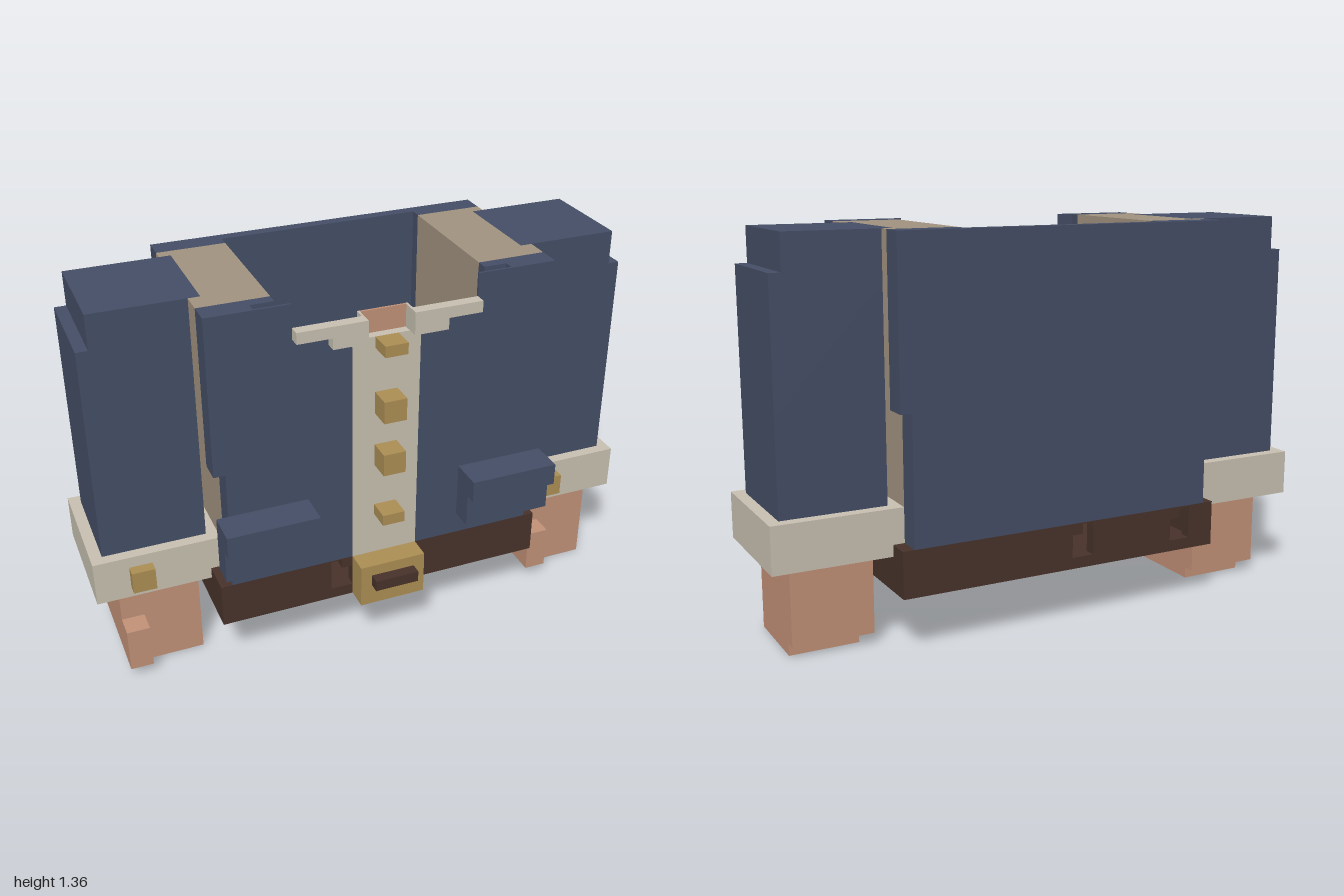
import * as THREE from 'three';

const mat = (name, color) => new THREE.MeshStandardMaterial({ name, color });

export function createModel() {
  const navy = mat('navy cloth', 0x454e66);
  const tan = mat('tan lining', 0xa39480);
  const cream = mat('cream cloth', 0xc9c1b2);
  const gold = mat('gold', 0xad8f55);
  const skin = mat('skin', 0xc39278);
  const brown = mat('brown leather', 0x48332b);
  const model = new THREE.Group();
  model.name = 'jacketTorso';

  // Box given by its extents on each axis
  function box(parent, name, material, [x0, x1], [y0, y1], [z0, z1]) {
    const mesh = new THREE.Mesh(new THREE.BoxGeometry(Math.abs(x1 - x0), y1 - y0, z1 - z0), material);
    mesh.position.set((x0 + x1) / 2, (y0 + y1) / 2, (z0 + z1) / 2);
    mesh.name = name;
    parent.add(mesh);
    return mesh;
  }
  function group(name, x = 0) {
    const g = new THREE.Group();
    g.name = name;
    g.position.x = x;
    model.add(g);
    return g;
  }

  // Hollow belt: front and back walls pierced by small notches
  const belt = group('belt');
  function beltWall(name, z, notches) {
    const shape = new THREE.Shape();
    shape.moveTo(-0.6, 0.2).lineTo(0.6, 0.2).lineTo(0.6, 0.36).lineTo(-0.6, 0.36);
    for (const x of notches) {
      const hole = new THREE.Path();
      hole.moveTo(x, 0.24).lineTo(x, 0.355).lineTo(x + 0.04, 0.355).lineTo(x + 0.04, 0.32)
        .lineTo(x + 0.08, 0.32).lineTo(x + 0.08, 0.24);
      shape.holes.push(hole);
    }
    const mesh = new THREE.Mesh(new THREE.ExtrudeGeometry(shape, { depth: 0.04, bevelEnabled: false }), brown);
    mesh.position.z = z;
    mesh.name = name;
    belt.add(mesh);
  }
  beltWall('beltFront', 0.22, [-0.2]);
  beltWall('beltBack', -0.38, [-0.1, -0.5]);
  box(belt, 'beltFloor', brown, [-0.56, 0.56], [0.2, 0.22], [-0.34, 0.22]);
  for (const s of [-1, 1]) box(belt, 'beltSide', brown, [s * 0.56, s * 0.6], [0.2, 0.36], [-0.34, 0.22]);
  box(belt, 'buckle', gold, [-0.12, 0.12], [0.2, 0.36], [0.26, 0.34]);
  box(belt, 'buckleBar', brown, [-0.08, 0.08], [0.28, 0.32], [0.34, 0.38]);

  // Jacket body, open at the neck
  const jacket = group('jacket');
  box(jacket, 'backPanel', navy, [-0.36, 0.36], [0.36, 1.36], [-0.38, -0.34]);
  for (const s of [-1, 1]) {
    const m = (a, b) => [s * a, s * b];
    // lower part is narrower than the upper part
    for (const [y, w] of [[[0.36, 0.8], 0.56], [[0.8, 1.36], 0.6]]) {
      box(jacket, 'backCorner', navy, m(0.36, w), y, [-0.38, -0.3]);
      box(jacket, 'frontCorner', navy, m(0.44, w), y, [0.18, 0.26]);
      box(jacket, 'sideLining', tan, m(0.36, 0.56), y, [-0.3, 0.18]);
    }
    box(jacket, 'liningFrontEdge', tan, m(0.56, 0.6), [0.8, 1.36], [0.1, 0.18]);
    box(jacket, 'liningBackEdge', tan, m(0.56, 0.6), [0.8, 1.36], [-0.3, -0.26]);
    box(jacket, 'frontCornerInner', navy, m(0.36, 0.44), [0.36, 1.36], [0.18, 0.22]);
    // thin front panel stepping up beside the collar
    box(jacket, 'frontPanel', navy, m(0.32, 0.44), [0.36, 1.36], [0.252, 0.26]);
    box(jacket, 'frontPanel', navy, m(0.2, 0.32), [0.36, 1.24], [0.252, 0.26]);
    box(jacket, 'frontPanel', navy, m(0.12, 0.2), [0.36, 1.2], [0.252, 0.26]);
    box(jacket, 'placketEdge', cream, m(0.08, 0.12), [0.36, 1.2], [0.252, 0.26]);
    // collar
    box(jacket, 'collarTip', cream, m(0.2, 0.32), [1.24, 1.28], [0.26, 0.3]);
    box(jacket, 'collar', cream, m(0.08, 0.2), [1.2, 1.28], [0.26, 0.3]);
    box(jacket, 'collarNotchSide', cream, m(0.08, 0.088), [1.2, 1.28], [0.22, 0.26]);
    // pocket with flap
    box(jacket, 'pocket', navy, m(0.28, 0.6), [0.44, 0.56], [0.26, 0.34]);
    box(jacket, 'pocketFlap', navy, m(0.28, 0.6), [0.56, 0.64], [0.26, 0.38]);
  }
  box(jacket, 'placket', cream, [-0.08, 0.08], [0.36, 1.2], [0.22, 0.26]);
  box(jacket, 'neckSkin', skin, [-0.08, 0.08], [1.2, 1.28], [0.22, 0.228]);
  for (const y of [[0.52, 0.56], [0.72, 0.8], [0.92, 1], [1.16, 1.2]]) {
    box(jacket, 'button', gold, [-0.04, 0.04], y, [0.26, 0.34]);
  }

  // Mirrored sleeves
  for (const s of [-1, 1]) {
    const sleeve = group(s > 0 ? 'leftSleeve' : 'rightSleeve');
    const z = [-0.26, 0.1];
    box(sleeve, 'lowerSleeve', navy, [s * 0.6, s * 0.96], [0.48, 0.8], z);
    box(sleeve, 'upperSleeve', navy, [s * 0.56, s * 0.96], [0.8, 1.24], z);
    box(sleeve, 'shoulder', navy, [s * 0.56, s * 0.92], [1.24, 1.36], z);
  }

  // Cuffs and hands, repeated without mirroring
  for (const x of [-0.78, 0.78]) {
    const hand = group(x > 0 ? 'leftHand' : 'rightHand', x);
    box(hand, 'cuff', cream, [-0.22, 0.22], [0.32, 0.48], [-0.3, 0.14]);
    box(hand, 'cuffButton', gold, [-0.1, -0.02], [0.36, 0.44], [0.14, 0.18]);
    box(hand, 'palm', skin, [-0.14, 0.14], [0.04, 0.32], [-0.22, 0.1]);
    box(hand, 'fingers', skin, [-0.1, 0.14], [0, 0.04], [-0.18, 0.1]);
    box(hand, 'thumb', skin, [-0.14, -0.06], [0.04, 0.2], [0.1, 0.18]);
  }
  return model;
}
